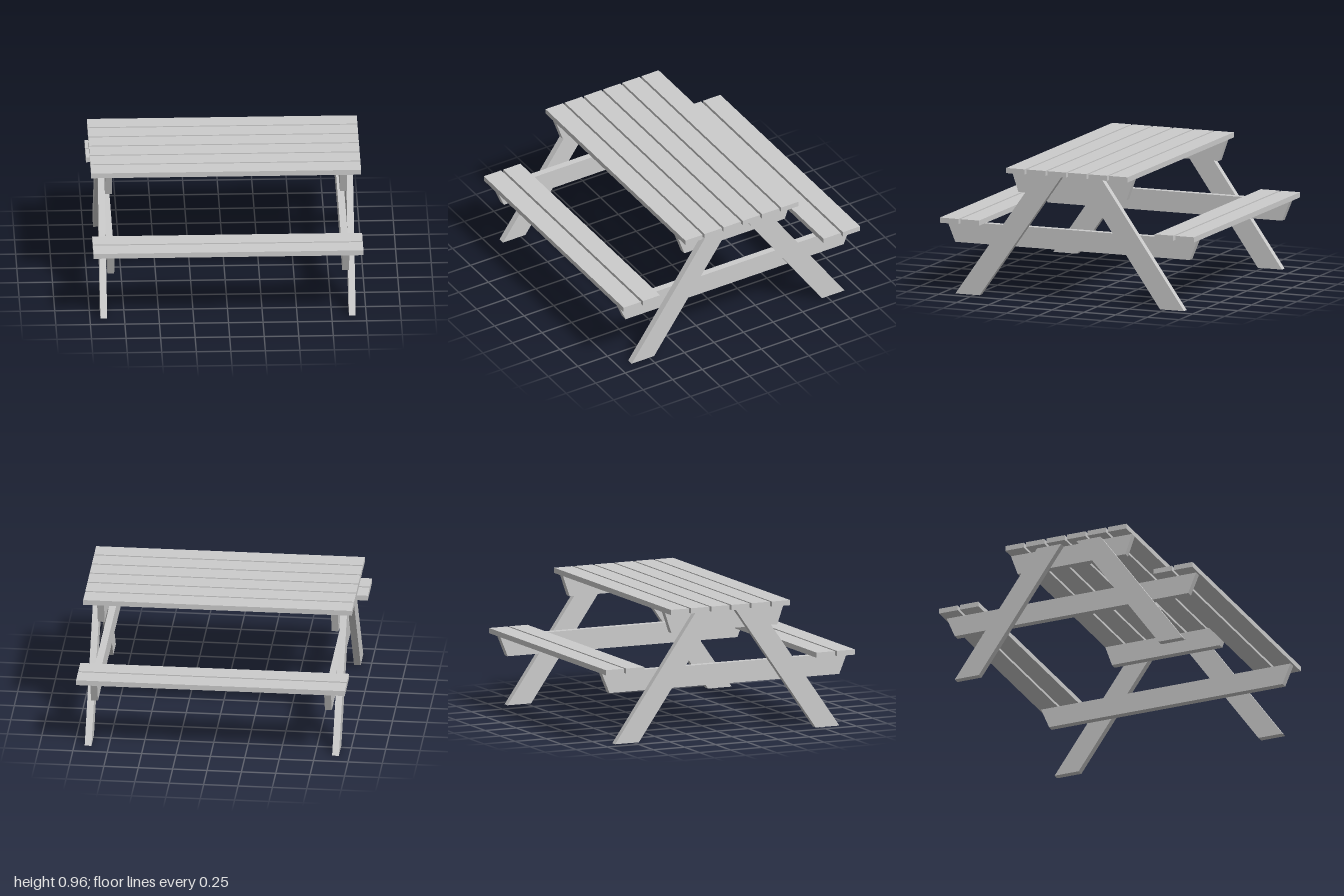
import * as THREE from 'three';

const material = new THREE.MeshStandardMaterial({ color: 0xcccccc, flatShading: true });

// Flat board from a (z, y) outline, spanning x0..x1
function board(name, outline, x0, x1) {
  const shape = new THREE.Shape(outline.map(([z, y]) => new THREE.Vector2(-z, y)));
  const geometry = new THREE.ExtrudeGeometry(shape, { depth: x1 - x0, bevelEnabled: false });
  geometry.rotateY(Math.PI / 2).translate(x0, 0, 0);
  const mesh = new THREE.Mesh(geometry, material);
  mesh.name = name;
  return mesh;
}

// Long plank running along x
function plank(name, y, z) {
  const mesh = new THREE.Mesh(new THREE.BoxGeometry(1.954, 0.038, 0.146), material);
  mesh.position.set(0, y, z);
  mesh.name = name;
  return mesh;
}

// Cross beam with slanted ends
function beam(name, topZ, bottomZ, topY, bottomY, x0, x1) {
  return board(name, [[-bottomZ, bottomY], [bottomZ, bottomY], [topZ, topY], [-topZ, topY]], x0, x1);
}

export function createModel() {
  const model = new THREE.Group();
  model.name = 'picnicTable';

  // Table top planks
  for (let i = 0; i < 6; i++) model.add(plank('tablePlank', 0.944, (i - 2.5) * 0.162));

  // Two planks per bench
  for (const s of [-1, 1]) {
    for (const z of [0.764, 0.927]) model.add(plank('seatPlank', 0.541, s * z));
  }

  // End frames: legs outside, beams inside
  for (const side of [-1, 1]) {
    const span = (a, b) => (side > 0 ? [a, b] : [-b, -a]);
    const frame = new THREE.Group();
    frame.name = side > 0 ? 'leftFrame' : 'rightFrame';
    frame.add(beam('tableBeam', 0.478, 0.425, 0.925, 0.773, ...span(0.825, 0.875)));
    frame.add(beam('seatBeam', 0.985, 0.922, 0.522, 0.37, ...span(0.825, 0.875)));
    for (const s of [-1, 1]) {
      const outline = [[0.9, 0], [0.71, 0], [0.06, 0.925], [0.25, 0.925]];
      frame.add(board('leg', outline.map(([z, y]) => [s * z, y]), ...span(0.875, 0.924)));
    }
    model.add(frame);
  }
  return model;
}
